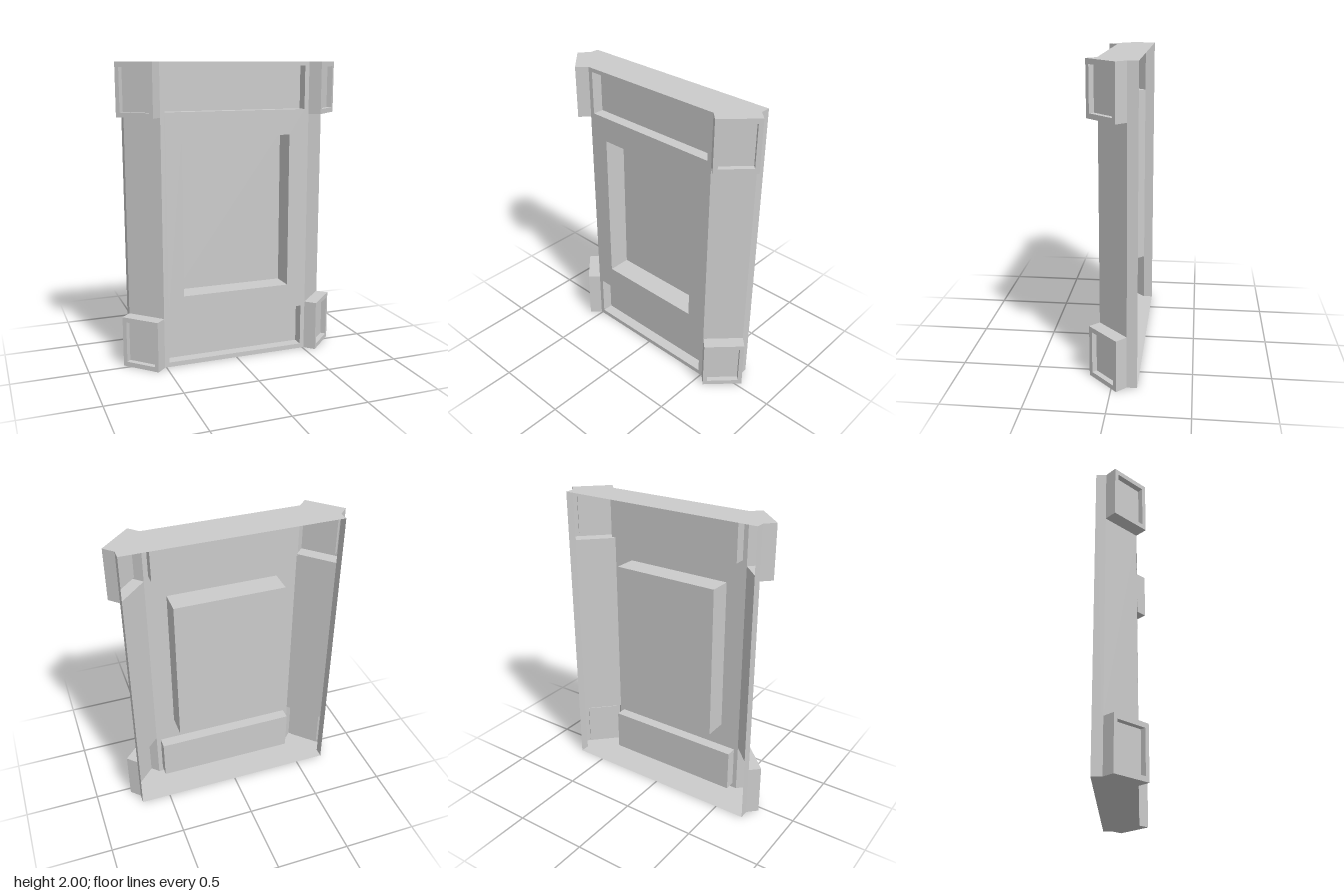
import * as THREE from 'three';

const material = new THREE.MeshStandardMaterial({ color: 0xcccccc, side: THREE.DoubleSide, flatShading: true });

function add(parent, name, geometry) {
  const mesh = new THREE.Mesh(geometry, material);
  mesh.name = name;
  parent.add(mesh);
  return mesh;
}

// Rectangles are [x0, x1, y0, y1]
function corners([x0, x1, y0, y1]) {
  return [[x0, y0], [x1, y0], [x1, y1], [x0, y1]].map(([x, y]) => new THREE.Vector2(x, y));
}

// Flat sheet facing +z with rectangular openings
function sheet(parent, name, rect, z, openings = []) {
  const shape = new THREE.Shape(corners(rect));
  for (const o of openings) shape.holes.push(new THREE.Path(corners(o)));
  add(parent, name, new THREE.ShapeGeometry(shape)).position.z = z;
}

// Walls running from z0 to z1 along a list of edges (index i joins corner i to i + 1)
function walls(parent, name, rect, z0, z1, edges = [0, 1, 2, 3]) {
  const c = corners(rect);
  const pos = [];
  for (const i of edges) {
    const a = c[i], b = c[(i + 1) % 4];
    pos.push(a.x, a.y, z0, b.x, b.y, z0, b.x, b.y, z1, a.x, a.y, z0, b.x, b.y, z1, a.x, a.y, z1);
  }
  const g = new THREE.BufferGeometry();
  g.setAttribute('position', new THREE.Float32BufferAttribute(pos, 3));
  g.computeVertexNormals();
  add(parent, name, g);
}

// Recess: side walls (facing into the opening) and a floor
function recess(parent, name, rect, z, depth) {
  walls(parent, name + 'Walls', rect, z, z - depth);
  sheet(parent, name + 'Floor', rect, z - depth);
}

export function createModel() {
  const model = new THREE.Group();
  model.name = 'wallPanel';

  const H = 2, FRONT = 0.095, BACK = -0.16, SIDE = 0.7, FLAT = 0.51;
  const BLOCK_H = 0.342;

  // Front face with three recesses
  const middle = [-0.373, 0.373, 0.482, 1.524];
  const lower = [-0.48, 0.48, 0.032, 0.316];
  const upper = [-0.48, 0.48, 1.69, 1.974];
  sheet(model, 'frontFace', [-FLAT, FLAT, 0, H], FRONT, [middle, lower, upper]);
  recess(model, 'middleRecess', middle, FRONT, 0.155);
  recess(model, 'lowerRecess', lower, FRONT, 0.075);
  recess(model, 'upperRecess', upper, FRONT, 0.075);

  // Side walls, open at the back
  walls(model, 'sideWalls', [-SIDE, SIDE, 0, H], BACK, -0.095, [1, 3]);

  // Slanted corners with a hollow block at each end
  const half = 0.095 * Math.SQRT2, out = 0.06 * Math.SQRT2, hole = 0.075 * Math.SQRT2;
  for (const side of [-1, 1]) {
    const corner = new THREE.Group();
    corner.name = side > 0 ? 'leftCorner' : 'rightCorner';
    corner.position.x = side * (SIDE + FLAT) / 2;
    corner.rotation.y = side * Math.PI / 4;
    model.add(corner);
    sheet(corner, 'slantedFace', [-half, half, BLOCK_H, H - BLOCK_H], 0);

    for (const [name, y, edges] of [['lowerBlock', 0, [1, 2, 3]], ['upperBlock', H - BLOCK_H, [0, 1, 3]]]) {
      const rect = [-half, half, y, y + BLOCK_H];
      const opening = [-hole, hole, y + 0.032, y + BLOCK_H - 0.032];
      sheet(corner, name + 'Face', rect, out, [opening]);
      walls(corner, name + 'Sides', rect, 0, out, edges);
      recess(corner, name + 'Recess', opening, out, 0.036);
    }
  }

  // Top and bottom plates following the outline
  const rightHalf = [[SIDE, BACK], [SIDE, -0.095], [0.76, -0.035], [0.57, 0.155], [FLAT, FRONT]];
  const outline = [...rightHalf, ...rightHalf.map(([x, z]) => [-x, z]).reverse()];
  const plate = new THREE.Shape(outline.map(([x, z]) => new THREE.Vector2(x, -z)));
  for (const [name, y] of [['bottomPlate', 0], ['topPlate', H]]) {
    const mesh = add(model, name, new THREE.ShapeGeometry(plate));
    mesh.rotation.x = -Math.PI / 2;
    mesh.position.y = y;
  }

  return model;
}
